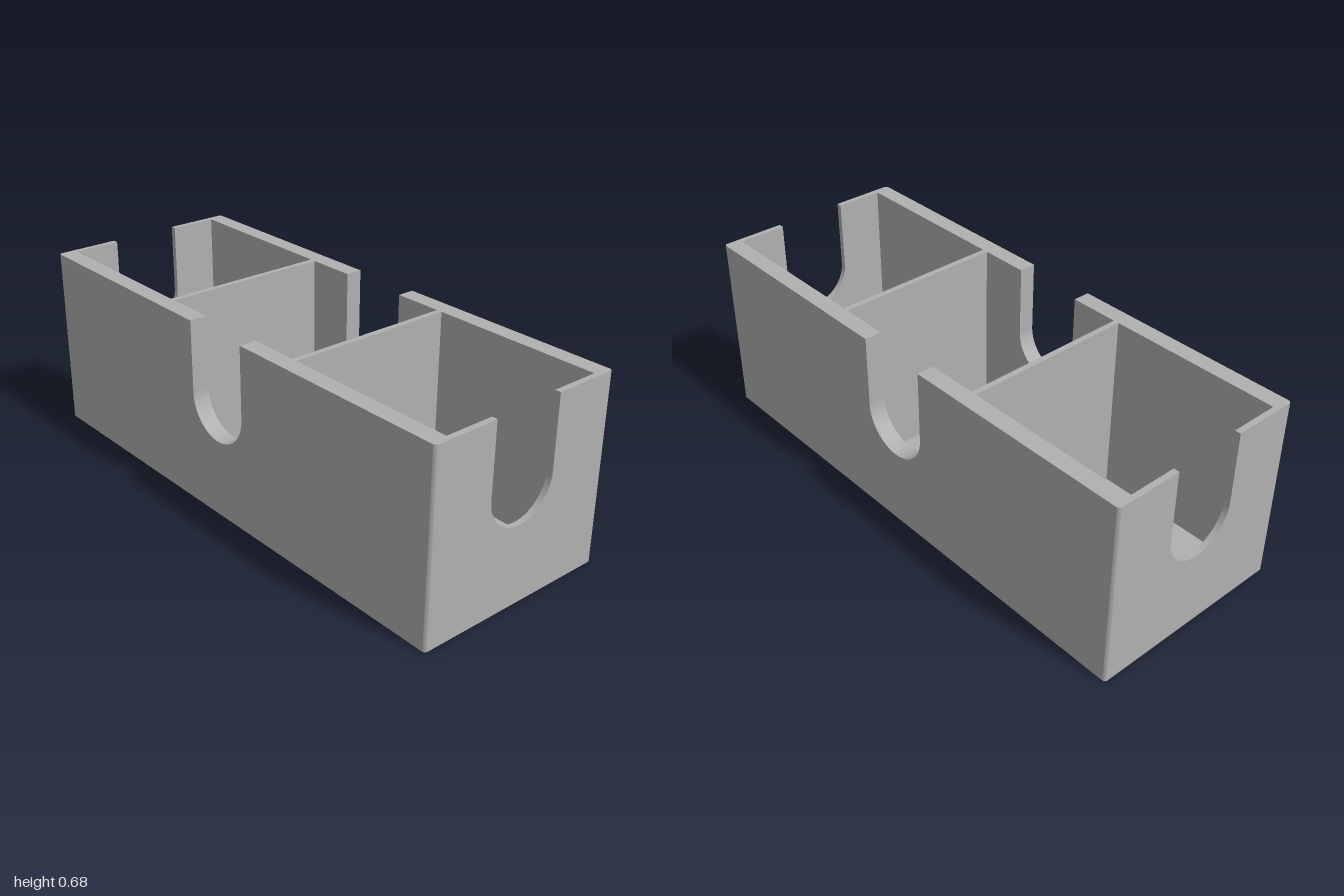
import * as THREE from 'three';
import { toCreasedNormals } from 'three/addons/utils/BufferGeometryUtils.js';

const H = 0.683;           // overall height
const X = 1, Z = 0.378;    // outer half sizes
const TX = 0.021;          // end wall and divider thickness
const TZ = 0.063;          // long wall thickness
const FLOOR = 0.018;
const R = 0.012;           // outer corner radius
const NOTCH_R = 0.135, NOTCH_Y = 0.421;

export function createModel() {
  const group = new THREE.Group();
  const grey = new THREE.MeshStandardMaterial({ color: 0xb0b0b0 });
  grey.name = 'grey plastic';

  const add = (name, geometry, x = 0, y = 0, z = 0) => {
    const mesh = new THREE.Mesh(geometry, grey);
    mesh.name = name;
    mesh.position.set(x, y, z);
    group.add(mesh);
    return mesh;
  };

  // Wall panel with a round-bottomed finger notch open at the top
  const notchedWall = (half, depth) => {
    const s = new THREE.Shape();
    s.moveTo(-half, 0);
    s.lineTo(half, 0);
    s.lineTo(half, H);
    s.lineTo(NOTCH_R, H);
    s.lineTo(NOTCH_R, NOTCH_Y);
    s.absarc(0, NOTCH_Y, NOTCH_R, 0, -Math.PI, true);
    s.lineTo(-NOTCH_R, H);
    s.lineTo(-half, H);
    s.closePath();
    const g = new THREE.ExtrudeGeometry(s, { depth, bevelEnabled: false, curveSegments: 32 });
    g.translate(0, 0, -depth / 2);
    return toCreasedNormals(g, 0.5);
  };

  // Long walls and end walls
  const longWall = notchedWall(X - R, TZ);
  const endWall = notchedWall(Z - TZ, TX);
  endWall.rotateY(Math.PI / 2);
  add('frontWall', longWall, 0, 0, Z - TZ / 2);
  add('backWall', longWall, 0, 0, -Z + TZ / 2);
  add('leftWall', endWall, X - TX / 2);
  add('rightWall', endWall, -X + TX / 2);

  // Rounded vertical corners, each joining a long wall to an end wall
  const cornerShape = new THREE.Shape();
  cornerShape.moveTo(0, 0);
  cornerShape.lineTo(R, 0);
  cornerShape.lineTo(R, TZ - R);
  cornerShape.absarc(0, TZ - R, R, 0, Math.PI / 2, false);
  cornerShape.closePath();
  const outline = cornerShape.getPoints(6);
  for (const sx of [-1, 1]) for (const sz of [-1, 1]) {
    const shape = new THREE.Shape(outline.map(p =>
      new THREE.Vector2(sx * (X - R + p.x), -sz * (Z - TZ + p.y))));
    const g = new THREE.ExtrudeGeometry(shape, { depth: H, bevelEnabled: false });
    g.rotateX(-Math.PI / 2);
    add('corner', toCreasedNormals(g, 0.5));
  }

  // Floor and the two dividers
  add('floor', new THREE.BoxGeometry(2 * (X - TX), FLOOR, 2 * (Z - TZ)), 0, FLOOR / 2, 0);
  for (const sx of [-1, 1]) {
    add('divider', new THREE.BoxGeometry(TX, H, 2 * (Z - TZ)), sx * 0.33, H / 2, 0);
  }
  return group;
}
